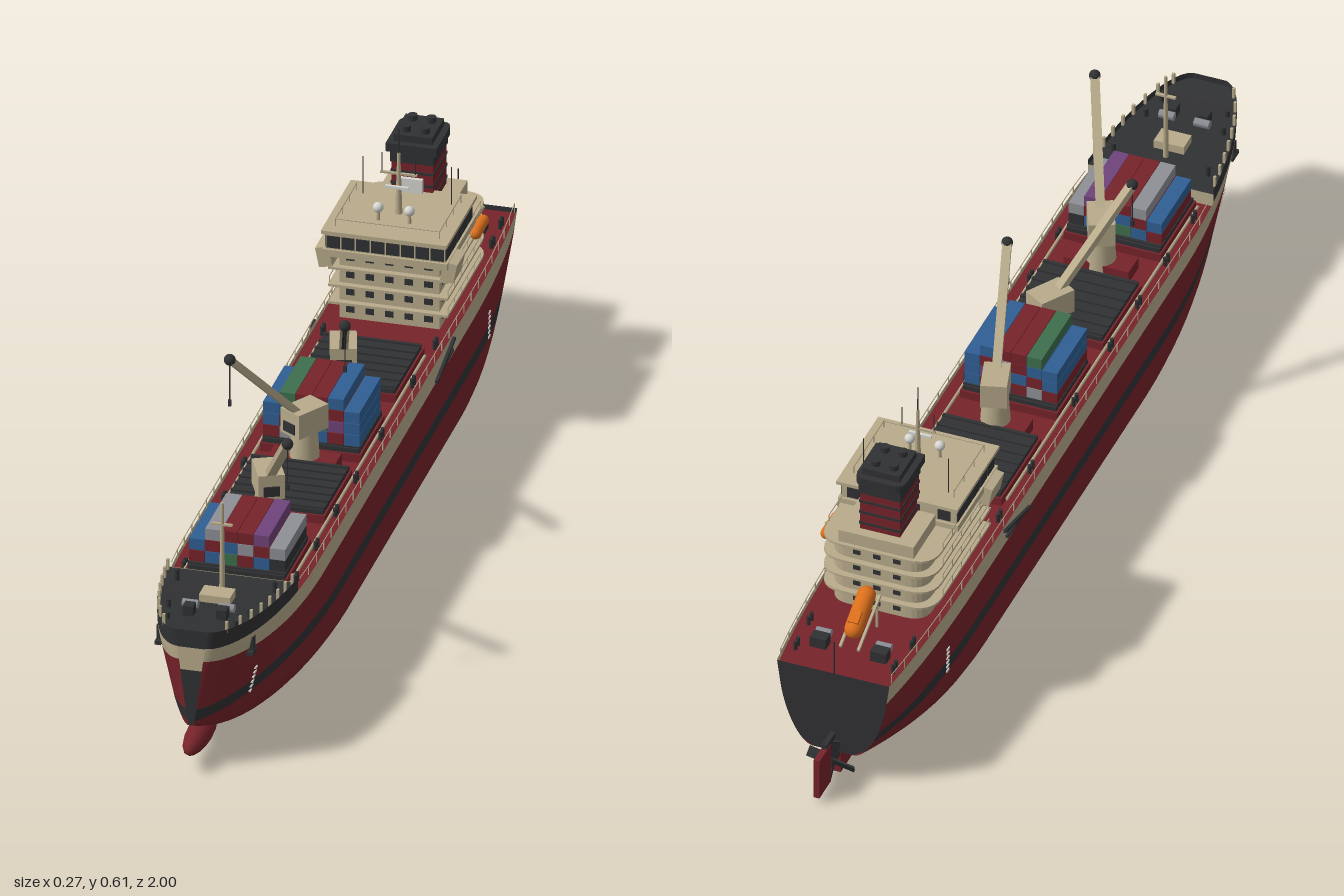
import * as THREE from 'three';

const mat = (name, color, side = THREE.FrontSide) => Object.assign(new THREE.MeshStandardMaterial({ color, side }), { name });
const red = mat('hull red', 0x76232a, THREE.DoubleSide), cream = mat('cream', 0xb8ab8b, THREE.DoubleSide);
const dark = mat('charcoal', 0x303133, THREE.DoubleSide), blue = mat('blue', 0x2f5f94), green = mat('green', 0x3d6e4c);
const purple = mat('purple', 0x70437a), grey = mat('grey', 0x8e9096), orange = mat('orange', 0xdb6f1c), white = mat('white', 0xd6d6d2);

const clamp = (v) => Math.min(1, Math.max(0, v));
const lerp = (a, b, t) => a + (b - a) * t;
const BOW = 0.975, STERN = -0.915;

// Hull lines: keel height, colour boundaries and half breadth
const keel = (z) => 0.01 + 0.09 * clamp((z - 0.4) / 0.575) ** 3 + 0.06 * clamp((-0.6 - z) / 0.315) ** 1.6;
const sheer = (z) => clamp((z - 0.6) / 0.375) ** 2;
const creamLow = (z) => 0.208 + 0.028 * sheer(z);
const creamTop = (z) => 0.25 + 0.013 * sheer(z);
const bulwarkTop = (z) => 0.278 + 0.02 * sheer(z);
function half(y, z) {
  const k = clamp((y - 0.01) / 0.24), stem = 0.006 + 0.024 * clamp((y - 0.1) / 0.19);
  const z0 = lerp(0.3, 0.55, k), u = clamp((z - z0) / (BOW - z0)), v = clamp((-0.5 - z) / 0.415);
  let w = stem + (0.13 - stem) * Math.pow(1 - Math.pow(u, lerp(1.8, 2.1, k)), lerp(0.85, 0.55, k));
  w -= v ** 2.5 * lerp(0.05, 0.018, k);
  const t = clamp((y - keel(z)) / lerp(0.05, 0.13, v)), flat = lerp(0.62, 0.45, v);
  return w * (flat + (1 - flat) * Math.sqrt(1 - (1 - t) ** 2));
}

// Grid surface from a rule f(u, v) -> [x, y, z]
function surface(nu, nv, f) {
  const pos = [], idx = [];
  for (let i = 0; i <= nu; i++) for (let j = 0; j <= nv; j++) pos.push(...f(i / nu, j / nv));
  for (let i = 0; i < nu; i++) for (let j = 0; j < nv; j++) {
    const a = i * (nv + 1) + j, b = a + nv + 1;
    idx.push(a, b, a + 1, b, b + 1, a + 1);
  }
  const g = new THREE.BufferGeometry();
  g.setAttribute('position', new THREE.Float32BufferAttribute(pos, 3));
  g.setIndex(idx);
  g.computeVertexNormals();
  return g;
}

export function createModel() {
  const root = new THREE.Group();
  root.name = 'cargoShip';
  const add = (name, geo, m, x = 0, y = 0, z = 0) => {
    const mesh = new THREE.Mesh(geo, m);
    mesh.name = name;
    mesh.position.set(x, y, z);
    root.add(mesh);
    return mesh;
  };
  const box = (name, m, w, h, d, x, y, z) => add(name, new THREE.BoxGeometry(w, h, d), m, x, y, z);
  const cyl = (name, m, r0, r1, h, x, y, z, n = 12) => add(name, new THREE.CylinderGeometry(r0, r1, h, n), m, x, y, z);
  const ball = (name, m, r, x, y, z) => add(name, new THREE.SphereGeometry(r, 16, 12), m, x, y, z);
  // Straight bar between two points; round when h is omitted
  const bar = (name, m, a, b, w, h) => {
    const p = new THREE.Vector3(...a), q = new THREE.Vector3(...b), len = p.distanceTo(q);
    const geo = h ? new THREE.BoxGeometry(w, h, len) : new THREE.CylinderGeometry(w, w, len, 6).rotateX(Math.PI / 2);
    const mesh = add(name, geo, m, ...p.clone().lerp(q, 0.5).toArray());
    mesh.lookAt(q);
    return mesh;
  };

  // Hull bands, both sides
  const alongHull = (u, from) => from < 0 ? 0.03 + 0.945 * Math.sin(Math.PI * (u - 0.5)) : lerp(from, BOW, Math.sin(u * Math.PI / 2));
  const band = (name, m, low, high, from = STERN) => {
    for (const s of [-1, 1]) add(name, surface(56, 4, (u, v) => {
      const z = alongHull(u, from), y = lerp(low(z), high(z), v);
      return [s * half(y, z), y, z];
    }), m);
  };
  for (const s of [-1, 1]) add('lowerHull', surface(56, 13, (u, v) => {
    const z = alongHull(u, STERN), t = Math.max(0, (v * 13 - 1) / 12);
    const y = lerp(keel(z), 0.11, 1 - Math.cos(t * Math.PI / 2));
    return [v === 0 ? 0 : s * half(y, z), y, z];
  }), red);
  band('waterlineStripe', dark, () => 0.11, () => 0.135);
  band('upperHull', red, () => 0.135, creamLow);
  band('hullTopBand', cream, creamLow, creamTop);
  band('bowBulwark', dark, creamTop, bulwarkTop, 0.68);
  const endPlate = (name, m, z, y0, y1) => add(name, surface(12, 2, (u, v) => {
    const y = lerp(y0, y1, u);
    return [half(y, z) * (2 * v - 1), y, z];
  }), m);
  endPlate('transom', dark, STERN, keel(STERN), 0.25);
  endPlate('stemPlate', dark, BOW, 0.1, 0.215);
  endPlate('stemBand', cream, BOW, 0.215, 0.262);
  endPlate('stemTop', dark, BOW, 0.262, 0.298);
  endPlate('forecastleBulkhead', cream, 0.68, 0.235, 0.268);
  const deck = (name, m, z0, z1, yOf) => add(name, surface(40, 2, (u, v) => {
    const z = lerp(z0, z1, Math.sin(u * Math.PI / 2)), y = yOf(z);
    return [half(y, z) * (1 - 2 * v), y, z];
  }), m);
  deck('mainDeck', red, STERN, 0.7, () => 0.24);
  deck('foredeck', dark, 0.68, BOW, (z) => bulwarkTop(z) - 0.012);

  // Bulb, skeg, propeller and rudder
  ball('bulbousBow', red, 0.024, 0, 0.054, 0.91).scale.z = 3.7;
  box('skeg', red, 0.018, 0.05, 0.27, 0, 0.036, -0.765);
  bar('propellerShaft', dark, [0, 0.055, -0.88], [0, 0.055, -0.94], 0.009);
  for (let i = 0; i < 4; i++) {
    const a = i * Math.PI / 2 + 0.2;
    const blade = box('propellerBlade', dark, 0.02, 0.042, 0.004, -Math.sin(a) * 0.026, 0.055 + Math.cos(a) * 0.026, -0.925);
    blade.rotation.set(0, 0.5, a, 'ZYX');
  }
  box('rudder', red, 0.012, 0.086, 0.058, 0, 0.062, -0.97);
  box('rudderHead', dark, 0.01, 0.012, 0.05, 0, 0.108, -0.935);

  // Anchors, draught marks, gangways, rails and mooring gear
  for (const s of [-1, 1]) {
    const ax = half(0.23, 0.87) * s;
    box('anchor', dark, 0.01, 0.034, 0.012, ax, 0.23, 0.87);
    box('anchorFluke', dark, 0.012, 0.008, 0.03, ax, 0.215, 0.87);
    for (const z of [0.83, -0.66]) for (let i = 0; i < 6; i++) {
      const y = 0.112 + i * 0.01;
      box('draughtMark', white, 0.004, 0.004, 0.012, s * half(y, z), y, z);
    }
    bar('gangway', dark, [s * 0.134, 0.245, -0.39], [s * 0.134, 0.215, -0.265], 0.006, 0.006);
    bar('gangwayRail', dark, [s * 0.134, 0.226, -0.38], [s * 0.134, 0.222, -0.29], 0.005, 0.005);
    for (let z = -0.9; z < 0.66; z += 0.052) {
      const x0 = s * (half(0.25, z) - 0.003), x1 = s * (half(0.25, z + 0.052) - 0.003);
      cyl('railPost', cream, 0.0012, 0.0012, 0.02, x0, 0.258, z, 5);
      bar('rail', cream, [x0, 0.267, z], [x1, 0.267, z + 0.052], 0.0009);
    }
    for (let z = 0.7; z < 0.96; z += 0.035) {
      const y = bulwarkTop(z);
      box('bulwarkPost', cream, 0.005, 0.022, 0.006, s * (half(y, z) - 0.004), y + 0.004, z);
    }
    for (const z of [-0.86, -0.78, -0.36, -0.2, 0.02, 0.2, 0.34, 0.48, 0.62])
      for (const d of [0, 0.014]) cyl('bollard', dark, 0.004, 0.004, 0.018, s * 0.108 * half(0.25, z) / 0.13, 0.249, z + d, 8);
    for (const z of [0.73, 0.85, 0.9]) cyl('foreBollard', dark, 0.005, 0.005, 0.022, s * half(0.28, z) * 0.78, 0.28, z, 8);
    box('windlass', dark, 0.02, 0.024, 0.022, s * 0.032, 0.285, 0.87);
    bar('windlassDrum', grey, [s * 0.02, 0.288, 0.85], [s * 0.05, 0.288, 0.85], 0.009);
    box('aftWinch', dark, 0.032, 0.022, 0.024, s * 0.06, 0.251, -0.83);
    bar('aftWinchDrum', grey, [s * 0.045, 0.256, -0.81], [s * 0.075, 0.256, -0.81], 0.008);
    bar('hatchPipe', cream, [s * 0.102, 0.248, -0.3], [s * 0.102, 0.248, 0.66], 0.003);
  }
  box('foredeckHatch', cream, 0.06, 0.018, 0.04, 0, 0.278, 0.79);
  cyl('foremast', cream, 0.003, 0.006, 0.19, 0, 0.36, 0.755, 8);
  box('foremastCrosstree', cream, 0.04, 0.004, 0.006, 0, 0.41, 0.755);
  cyl('flagStaff', dark, 0.0015, 0.0015, 0.08, 0, 0.28, -0.91, 6);

  // Cargo hatches with ribbed covers
  for (const [z0, z1] of [[-0.31, -0.12], [-0.03, 0.13], [0.2, 0.385], [0.49, 0.66]]) {
    box('hatchCoaming', red, 0.194, 0.02, z1 - z0 + 0.008, 0, 0.247, (z0 + z1) / 2);
    box('hatchCover', dark, 0.186, 0.01, z1 - z0, 0, 0.261, (z0 + z1) / 2);
    for (let i = 0; i < 7; i++) box('hatchRib', dark, 0.188, 0.005, 0.007, 0, 0.267, lerp(z0 + 0.008, z1 - 0.008, i / 6));
  }

  // Container stacks: columns from -x to +x, bottom to top
  const stack = (z, columns) => columns.forEach((col, c) => col.forEach((m, r) =>
    box('container', m, 0.03, 0.0228, 0.15, (c - 2.5) * 0.031, 0.281 + r * 0.0238, z)));
  stack(0.575, [[red, blue], [blue, red, grey], [green, blue, red], [red, grey, red], [blue, red, purple], [dark, grey]]);
  stack(0.052, [[red, blue, blue], [grey, red, blue, green], [red, blue, red, red], [blue, green, grey, red], [red, purple, red, blue], [blue, blue, blue]]);

  // Deck cranes: centre z and boom tip
  for (const [z, tx, ty, tz] of [[0.43, 0.09, 0.525, 0.625], [0.175, -0.1, 0.53, 0.335], [-0.1, 0.06, 0.51, 0.11]]) {
    const a = Math.atan2(tx, tz - z), dx = Math.sin(a), dz = Math.cos(a);
    box('craneBase', red, 0.13, 0.025, 0.05, 0, 0.252, z);
    cyl('cranePedestal', cream, 0.024, 0.03, 0.09, 0, 0.285, z, 16);
    box('craneHouse', cream, 0.05, 0.05, 0.075, 0, 0.343, z).rotation.y = a;
    box('craneCab', dark, 0.03, 0.02, 0.006, dx * 0.037, 0.335, z + dz * 0.037).rotation.y = a;
    const foot = [dx * 0.02, 0.362, z + dz * 0.02], tip = [tx, ty, tz];
    bar('craneBoom', cream, foot, tip, 0.017, 0.013);
    bar('boomWalkway', dark, [foot[0], foot[1] - 0.007, foot[2]], [tx, ty - 0.007, tz], 0.008, 0.002);
    ball('boomHead', dark, 0.011, tx, ty, tz);
    bar('hoistRope', dark, tip, [tx, ty - 0.09, tz], 0.001);
    box('hookBlock', dark, 0.006, 0.012, 0.006, tx, ty - 0.09, tz);
  }

  // Accommodation tiers with overhanging decks and windows
  const slab = (w, d, r, h) => {
    const s = new THREE.Shape(), x = w / 2, y = d / 2;
    s.moveTo(-x, -y).lineTo(x, -y).lineTo(x, y - r).quadraticCurveTo(x, y, x - r, y).lineTo(r - x, y).quadraticCurveTo(-x, y, -x, y - r);
    return new THREE.ExtrudeGeometry(s, { depth: h, bevelEnabled: false, curveSegments: 6 }).rotateX(-Math.PI / 2);
  };
  const windowsX = (m, n, span, w, h, y, z) => {
    for (let i = 0; i < n; i++) box('window', m, w, h, 0.004, lerp(-span, span, i / (n - 1)), y, z);
  };
  const windowsZ = (m, n, z0, z1, w, h, y, x) => {
    for (const s of [-1, 1]) for (let i = 0; i < n; i++) box('sideWindow', m, 0.004, h, w, s * x, y, lerp(z0, z1, i / (n - 1)));
  };
  for (let i = 0; i < 4; i++) {
    const y = 0.24 + i * 0.036;
    add('accommodationTier', slab(0.192, 0.27, 0.04, 0.036), cream, 0, y, -0.56);
    add('tierDeck', slab(0.23, 0.295, 0.05, 0.005), cream, 0, y + 0.032, -0.56);
    windowsX(dark, 5, 0.075, 0.016, 0.012, y + 0.019, -0.425);
    windowsX(dark, 3, 0.04, 0.014, 0.012, y + 0.019, -0.695);
    windowsZ(dark, 6, -0.63, -0.45, 0.016, 0.012, y + 0.019, 0.096);
    for (const s of [-1, 1]) {
      bar('tierRail', cream, [s * 0.114, y + 0.05, -0.42], [s * 0.114, y + 0.05, -0.65], 0.001);
      for (let j = 0; j < 6; j++) cyl('tierRailPost', cream, 0.001, 0.001, 0.016, s * 0.114, y + 0.043, -0.42 - j * 0.046, 5);
    }
  }

  // Bridge with wings, window band and roof
  box('bridge', cream, 0.23, 0.05, 0.19, 0, 0.408, -0.49);
  box('bridgeSkirt', cream, 0.24, 0.014, 0.2, 0, 0.389, -0.49);
  box('bridgeRoof', cream, 0.242, 0.007, 0.212, 0, 0.434, -0.49);
  windowsX(dark, 8, 0.1, 0.025, 0.024, 0.411, -0.395);
  windowsX(dark, 4, 0.09, 0.025, 0.022, 0.411, -0.585);
  windowsZ(dark, 5, -0.565, -0.415, 0.033, 0.024, 0.411, 0.115);
  for (const s of [-1, 1]) {
    const wing = box('bridgeWing', cream, 0.026, 0.04, 0.06, s * 0.12, 0.374, -0.43);
    wing.rotation.z = -s * 0.2;
    bar('roofRail', cream, [s * 0.1, 0.452, -0.41], [s * 0.1, 0.452, -0.56], 0.0012);
    for (let j = 0; j < 4; j++) cyl('roofRailPost', cream, 0.0012, 0.0012, 0.018, s * 0.1, 0.445, -0.41 - j * 0.05, 5);
    ball('radarDome', white, 0.01, s * 0.03, 0.463, -0.455);
    cyl('domeStand', cream, 0.003, 0.004, 0.022, s * 0.03, 0.447, -0.455, 8);
    cyl('aerial', dark, 0.001, 0.001, 0.08, s * 0.085, 0.475, -0.55, 5);
  }
  bar('frontRoofRail', cream, [-0.1, 0.452, -0.41], [0.1, 0.452, -0.41], 0.0012);

  // Signal mast
  cyl('mainMast', cream, 0.003, 0.007, 0.125, 0, 0.5, -0.49, 8);
  cyl('mastTop', dark, 0.001, 0.0015, 0.055, 0, 0.588, -0.49, 5);
  box('mastYard', cream, 0.07, 0.004, 0.005, 0, 0.52, -0.49);
  box('radarScanner', white, 0.045, 0.005, 0.006, 0, 0.497, -0.478);
  for (const s of [-1, 1]) cyl('yardAerial', dark, 0.001, 0.001, 0.04, s * 0.032, 0.54, -0.49, 5);

  // Funnel with casing, louvre stripes and cap
  box('funnelCasing', cream, 0.15, 0.03, 0.11, 0, 0.396, -0.645);
  box('funnelPanel', white, 0.044, 0.03, 0.008, 0, 0.451, -0.578);
  box('funnel', red, 0.08, 0.11, 0.096, 0, 0.447, -0.632);
  for (const y of [0.425, 0.45, 0.475]) box('funnelLouvre', dark, 0.083, 0.005, 0.099, 0, y, -0.632);
  box('funnelTop', dark, 0.084, 0.036, 0.1, 0, 0.512, -0.632);
  add('funnelCap', slab(0.098, 0.112, 0.02, 0.017), dark, 0, 0.517, -0.632);
  box('funnelHood', dark, 0.074, 0.014, 0.085, 0, 0.541, -0.632);
  for (const s of [-1, 1]) for (const z of [-0.655, -0.61]) cyl('exhaustPipe', dark, 0.009, 0.009, 0.02, s * 0.018, 0.549, z);

  // Free-fall lifeboat on its ramp, and the side rescue boat
  const boat = (name, r, len, x, y, z, tilt) => {
    const m = add(name, new THREE.CapsuleGeometry(r, len, 6, 14).rotateX(Math.PI / 2), orange, x, y, z);
    m.rotation.x = tilt;
    return m;
  };
  boat('freeFallLifeboat', 0.018, 0.072, 0, 0.297, -0.78, -0.5);
  box('lifeboatCabin', orange, 0.02, 0.014, 0.026, 0, 0.3, -0.803).rotation.x = -0.5;
  for (const s of [-1, 1]) {
    bar('launchRamp', cream, [s * 0.018, 0.302, -0.725], [s * 0.018, 0.25, -0.835], 0.005, 0.006);
    bar('rampLeg', cream, [s * 0.018, 0.24, -0.74], [s * 0.018, 0.295, -0.74], 0.003);
  }
  boat('rescueBoat', 0.011, 0.055, 0.118, 0.357, -0.625, 0);
  for (const z of [-0.655, -0.595]) bar('davit', cream, [0.1, 0.35, z], [0.118, 0.385, z], 0.003);
  return root;
}
